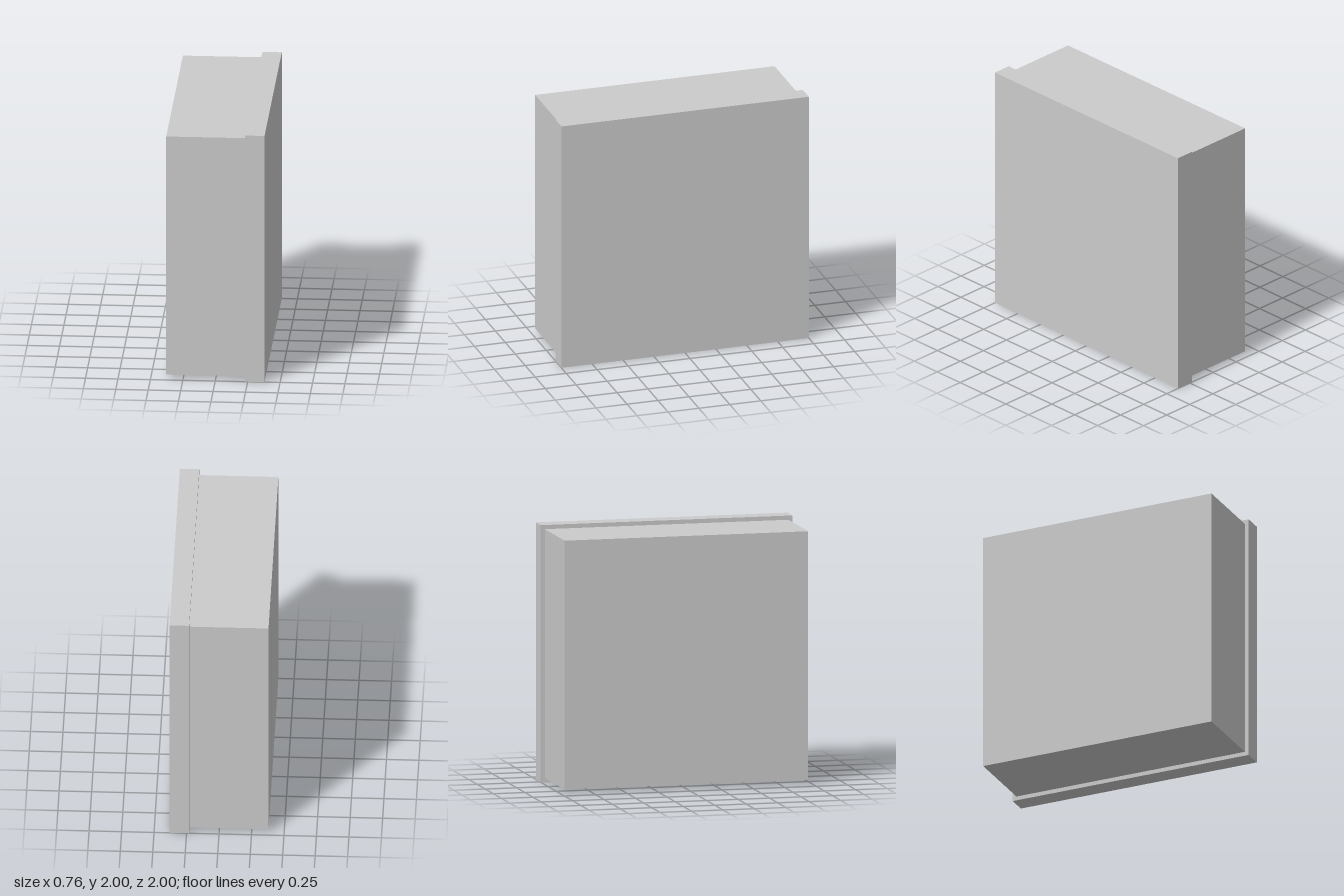
import * as THREE from 'three';

const material = new THREE.MeshStandardMaterial({ color: 0xcccccc, flatShading: true });

// Square slab spanning x0..x1, centred on height 1
function slab(name, x0, x1, size) {
  const mesh = new THREE.Mesh(new THREE.BoxGeometry(x1 - x0, size, size), material);
  mesh.name = name;
  mesh.position.set((x0 + x1) / 2, 1, 0);
  return mesh;
}

export function createModel() {
  const group = new THREE.Group();
  group.name = 'box';
  // Deep box body, closed by a slightly larger lid on the left side
  group.add(slab('body', -0.38, 0.23, 1.935));
  group.add(slab('lid', 0.23, 0.38, 2));
  return group;
}
